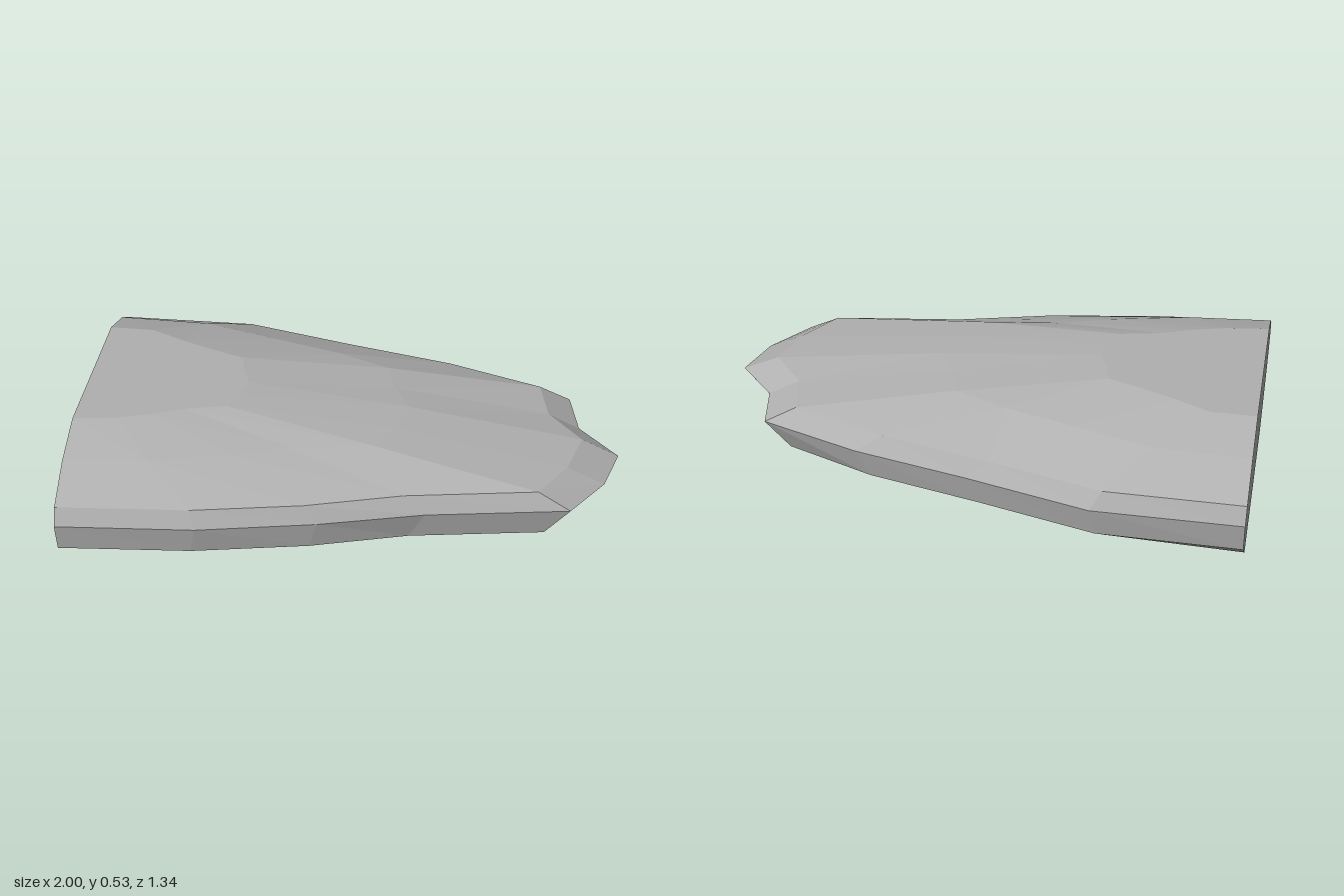
import * as THREE from 'three';

// Horizontal contours as [x, z], running from the back edge (-z) round the tip to the back edge (+z)
const BASE = [[-1, -0.4], [-0.82, -0.39], [-0.66, -0.34], [-0.5, -0.28], [-0.36, -0.22], [-0.32, -0.1], [-0.29, 0],
  [-0.3, 0.1], [-0.36, 0.22], [-0.5, 0.27], [-0.66, 0.33], [-0.82, 0.38], [-1, 0.4]];
const LOWER = [[-1, -0.65], [-0.48, -0.655], [-0.04, -0.55], [0.38, -0.46], [0.72, -0.335], [0.76, -0.155], [0.9, 0],
  [0.85, 0.175], [0.74, 0.35], [0.25, 0.43], [-0.1, 0.53], [-0.52, 0.61], [-1, 0.65]];
const RIM = [[-1, -0.665], [-0.46, -0.675], [0, -0.565], [0.43, -0.475], [0.81, -0.35], [0.85, -0.16], [1, 0],
  [0.95, 0.18], [0.83, 0.355], [0.31, 0.44], [-0.07, 0.54], [-0.5, 0.625], [-1, 0.665]];
const UPPER = [[-1, -0.635], [-0.5, -0.642], [-0.08, -0.54], [0.33, -0.45], [0.69, -0.33], [0.73, -0.15], [0.86, 0],
  [0.81, 0.18], [0.71, 0.34], [0.23, 0.42], [-0.12, 0.52], [-0.52, 0.595], [-1, 0.635]];
const SHOULDER = [[-1, -0.485], [-0.65, -0.48], [-0.36, -0.4], [-0.1, -0.33], [0.1, -0.25], [0.14, -0.12], [0.21, 0],
  [0.17, 0.14], [0.1, 0.26], [-0.2, 0.31], [-0.4, 0.38], [-0.69, 0.45], [-1, 0.485]];
const CROWN = [[-1, -0.31], [-0.83, -0.31], [-0.7, -0.25], [-0.57, -0.2], [-0.45, -0.16], [-0.43, -0.08], [-0.4, 0],
  [-0.41, 0.08], [-0.45, 0.165], [-0.6, 0.2], [-0.72, 0.25], [-0.84, 0.285], [-1, 0.31]];

const lift = (contour, y) => contour.map(([x, z]) => [x, y, z]);

// Two triangles for a four-cornered face
const quad = (out, a, b, c, d) => out.push(...a, ...b, ...c, ...a, ...c, ...d);

export function createModel() {
  const model = new THREE.Group();
  model.name = 'rockSlab';
  const stone = new THREE.MeshStandardMaterial({ color: 0xb0b0b0, flatShading: true });
  stone.name = 'grey stone';

  const addPart = (name, positions) => {
    const geometry = new THREE.BufferGeometry();
    geometry.setAttribute('position', new THREE.Float32BufferAttribute(positions, 3));
    geometry.computeVertexNormals();
    const mesh = new THREE.Mesh(geometry, stone);
    mesh.name = name;
    model.add(mesh);
  };

  const levels = [lift(BASE, 0), lift(LOWER, 0.2), lift(RIM, 0.31),
    lift(UPPER, 0.375), lift(SHOULDER, 0.47), lift(CROWN, 0.533)];
  const bands = ['underside', 'lowerEdge', 'upperEdge', 'lowerSlope', 'upperSlope'];
  const last = BASE.length - 1;

  // Faceted bands between neighbouring contours, and the flat back face
  const back = [];
  bands.forEach((name, k) => {
    const a = levels[k], b = levels[k + 1], faces = [];
    for (let i = 0; i < last; i++) quad(faces, a[i], b[i], b[i + 1], a[i + 1]);
    addPart(name, faces);
    quad(back, a[0], a[last], b[last], b[0]);
  });
  addPart('backFace', back);

  // Flat top and bottom, closed strip by strip from side to side
  const top = [], bottom = [];
  const crown = levels[5], base = levels[0];
  for (let i = 0; i < last / 2; i++) {
    const j = last - i;
    quad(top, crown[i], crown[j], crown[j - 1], crown[i + 1]);
    quad(bottom, base[i], base[i + 1], base[j - 1], base[j]);
  }
  addPart('topFace', top);
  addPart('bottomFace', bottom);
  return model;
}
